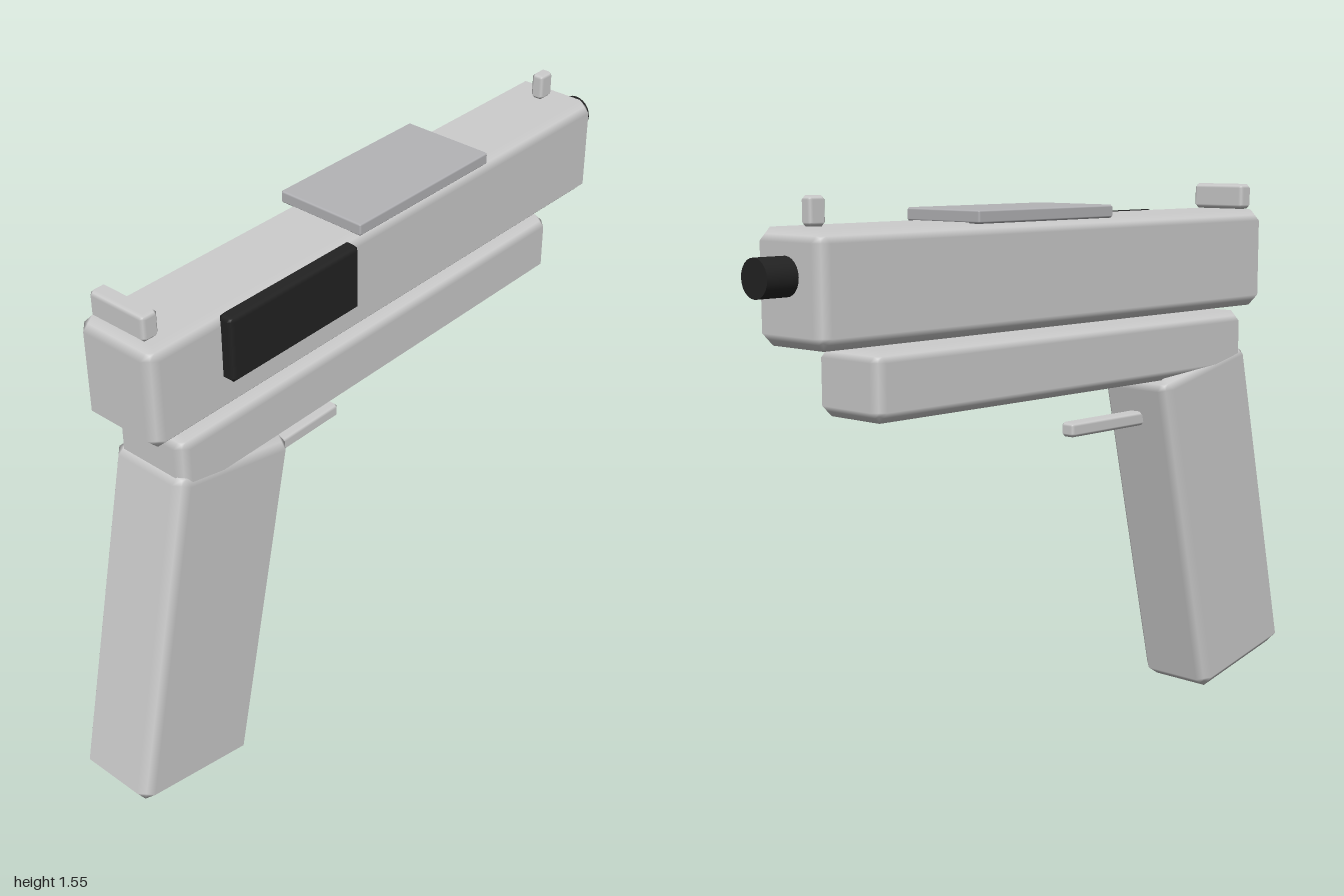
import * as THREE from 'three';

// Box with chamfered edges and softly blended normals
function bevelBox(w, h, d, r) {
  const geo = new THREE.BoxGeometry(1, 1, 1, 3, 3, 3);
  const pos = geo.attributes.position, nor = geo.attributes.normal;
  const half = [w / 2, h / 2, d / 2];
  for (let i = 0; i < pos.count; i++) {
    const p = [pos.getX(i), pos.getY(i), pos.getZ(i)];
    const outer = p.map((v) => Math.abs(v) > 0.4);
    const n = outer.filter(Boolean).length;
    const inset = r * (n - 1) / n;
    const q = p.map((v, k) => Math.sign(v) * (half[k] - (outer[k] ? inset : r)));
    const m = new THREE.Vector3(...p.map((v, k) => (outer[k] ? Math.sign(v) : 0))).normalize();
    pos.setXYZ(i, ...q);
    nor.setXYZ(i, m.x, m.y, m.z);
  }
  return geo;
}

export function createModel() {
  const model = new THREE.Group();
  model.name = 'model';
  const mat = (name, color) => {
    const m = new THREE.MeshStandardMaterial({ color });
    m.name = name;
    return m;
  };
  const lightGrey = mat('lightGrey', 0xcccccc);
  const midGrey = mat('midGrey', 0xb3b3b6);
  const black = mat('black', 0x222222);
  const cx = -0.015; // centre line of the body

  const add = (name, geo, material, x, y, z) => {
    const mesh = new THREE.Mesh(geo, material);
    mesh.name = name;
    mesh.position.set(x, y, z);
    model.add(mesh);
    return mesh;
  };

  // Main body
  add('slide', bevelBox(0.26, 0.292, 1.765, 0.033), lightGrey, cx, 1.329, -0.023);
  add('frame', bevelBox(0.244, 0.184, 1.5, 0.03), lightGrey, cx, 1.079, 0.025);
  add('grip', bevelBox(0.26, 1.02, 0.413, 0.035), lightGrey, cx, 0.535, 0.695).rotation.x = -0.22;
  add('trigger', bevelBox(0.05, 0.042, 0.4, 0.01), lightGrey, cx, 0.866, 0.298);

  // Barrel end
  const barrel = add('barrel', new THREE.CylinderGeometry(0.05, 0.05, 0.2, 24), black, cx, 1.36, -0.9);
  barrel.rotation.x = Math.PI / 2;

  // Plates on the slide
  add('sidePlate', bevelBox(0.05, 0.19, 0.466, 0.015), black, 0.124, 1.38, 0.397);
  add('topPlate', bevelBox(0.276, 0.036, 0.524, 0.006), midGrey, cx - 0.002, 1.49, -0.126);

  // Sights
  add('rearSight', bevelBox(0.186, 0.075, 0.054, 0.012), lightGrey, cx, 1.514, 0.812);
  add('frontSight', bevelBox(0.04, 0.075, 0.054, 0.01), lightGrey, cx, 1.514, -0.815);

  return model;
}
